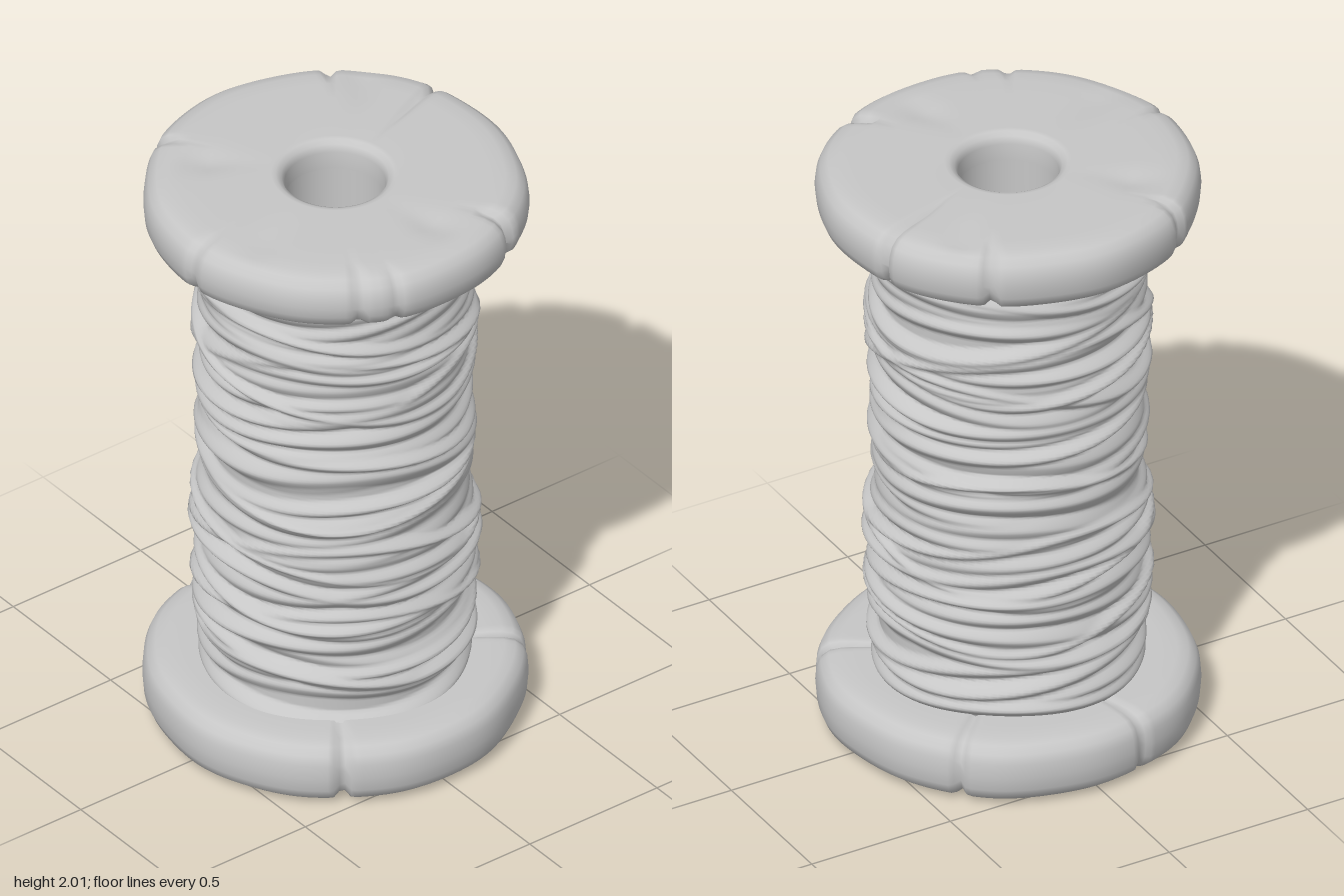
import * as THREE from 'three';
import { mergeVertices } from 'three/addons/utils/BufferGeometryUtils.js';

const wood = new THREE.MeshStandardMaterial({ color: 0xc6c6c6 });
wood.name = 'plain grey';

// Small seeded random generator
function seeded(seed) {
  let s = seed;
  return () => (s = (s * 16807) % 2147483647) / 2147483647;
}

// Shortest signed difference between two angles
const angleGap = (a, b) => Math.atan2(Math.sin(a - b), Math.cos(a - b));

// Lathe a profile, move each point by a rule (radius, y, angle) -> [radius, y], weld and smooth
function turned(name, points, segments, rule) {
  const lathe = new THREE.LatheGeometry(points.map(([r, y]) => new THREE.Vector2(r, y)), segments);
  lathe.deleteAttribute('uv');
  lathe.deleteAttribute('normal');
  const geometry = mergeVertices(lathe, 1e-5);
  const p = geometry.attributes.position;
  for (let i = 0; i < p.count; i++) {
    const angle = Math.atan2(p.getX(i), p.getZ(i));
    const [r, y] = rule(Math.hypot(p.getX(i), p.getZ(i)), p.getY(i), angle);
    p.setXYZ(i, r * Math.sin(angle), y, r * Math.cos(angle));
  }
  geometry.computeVertexNormals();
  const mesh = new THREE.Mesh(geometry, wood);
  mesh.name = name;
  return mesh;
}

// Rounded disc with a hole; cracks are [angle, depth, innermost radius, width]
function flange(name, low, high, cracks, dents, tilt) {
  const mid = (low + high) / 2;
  const profile = [
    [0.158, mid], [0.158, low + 0.03], [0.165, low + 0.01], [0.185, low], [0.2, low],
    [0.3, low], [0.4, low], [0.48, low], [0.53, low + 0.002], [0.565, low + 0.01],
    [0.59, low + 0.03], [0.602, low + 0.06], [0.606, mid], [0.602, high - 0.06],
    [0.59, high - 0.03], [0.565, high - 0.01], [0.53, high - 0.002], [0.48, high],
    [0.4, high], [0.3, high], [0.2, high], [0.185, high - 0.002], [0.168, high - 0.012],
    [0.158, high - 0.035], [0.158, mid],
  ];
  return turned(name, profile, 200, (r, y, a) => {
    // uneven worn rim
    let radius = r > 0.45 ? r * (0.995 + 0.005 * Math.sin(5 * a + low) + 0.003 * Math.sin(11 * a)) : r;
    const side = Math.sign(y - mid);
    let sink = 0;
    // radial splits in the rim
    for (const [angle, depth, inner, width] of cracks) {
      const g = Math.exp(-((angleGap(a, angle) / width) ** 2));
      if (r > 0.5) radius -= depth * g;
      if (r > inner) sink += 0.6 * depth * g;
    }
    // shallow dents in the top face
    const x = r * Math.sin(a), z = r * Math.cos(a);
    if (side > 0) {
      for (const [dx, dz, size, depth] of dents) {
        sink += depth * Math.exp(-((x - dx) ** 2 + (z - dz) ** 2) / (size * size));
      }
    }
    const lean = side > 0 ? tilt * (r * Math.sin(a) - 0.45) : 0;
    return [radius, y - side * sink + lean];
  });
}

// Wound thread: overlapping tilted ridges around a core
function thread() {
  const random = seeded(71);
  const wraps = [];
  // regular turns: [height, swing, phase, half width, rise]
  for (let y = 0.235; y < 1.82; y += 0.052) {
    wraps.push([
      y + (random() - 0.5) * 0.03, 0.012 + random() * 0.035, random() * Math.PI * 2,
      0.03 + random() * 0.02, 0.022 + random() * 0.03,
    ]);
  }
  // looser turns that cross the others
  wraps.push(
    [1.46, 0.1, 1.2, 0.035, 0.052], [1.43, 0.11, -1.5, 0.035, 0.05], [1.37, 0.08, 2.8, 0.035, 0.048],
    [1.58, 0.07, 0.2, 0.035, 0.044], [0.75, 0.09, 1.0, 0.032, 0.05], [0.78, 0.07, -1.3, 0.03, 0.048],
    [0.52, 0.07, 0.9, 0.03, 0.048], [1.0, 0.06, -2.2, 0.03, 0.048], [0.36, 0.05, -0.9, 0.03, 0.046],
  );
  const profile = [];
  for (let i = 0; i <= 230; i++) profile.push([0.405, 0.195 + (1.635 * i) / 230]);
  return turned('woundThread', profile, 110, (r, y, a) => {
    let rise = 0;
    for (const [height, swing, phase, half, top] of wraps) {
      const centre = height + swing * Math.cos(a - phase) + 0.008 * Math.sin(3 * a + phase * 5);
      const t = Math.abs(y - centre) / half;
      const strength = 0.78 + 0.22 * Math.sin(2 * a + phase * 3);
      if (t < 1) rise = Math.max(rise, top * strength * (1 - t ** 1.4));
    }
    return [r + rise + 0.004 * Math.sin(4 * a + 6 * y), y];
  });
}

export function createModel() {
  const group = new THREE.Group();
  group.name = 'threadSpool';

  group.add(flange('bottomFlange', 0, 0.213, [
    [0.96, 0.028, 0.45, 0.03], [-2.36, 0.022, 0.25, 0.025],
    [2.58, 0.02, 0.3, 0.025], [-1.31, 0.016, 0.35, 0.025],
  ], [], 0));

  group.add(flange('topFlange', 1.812, 2, [
    [-2.8, 0.025, 0.38, 0.025], [-2.19, 0.022, 0.5, 0.03], [2.09, 0.03, 0.5, 0.04],
    [1.05, 0.016, 0.53, 0.03], [-0.99, 0.02, 0.53, 0.03], [0.08, 0.014, 0.53, 0.03],
    [1.25, 0.012, 0.55, 0.03],
  ], [
    [-0.33, -0.36, 0.06, 0.012], [0.4, -0.08, 0.06, 0.014],
    [-0.29, 0.28, 0.06, 0.014], [0.17, 0.42, 0.06, 0.01],
  ], -0.012));

  // Wall of the bore between the flanges
  group.add(turned('boreWall', [[0.158, 1.91], [0.156, 1.4], [0.156, 0.6], [0.158, 0.1]], 48, (r, y) => [r, y]));

  group.add(thread());

  // Small splinter sticking into the bore
  const splinter = new THREE.Mesh(new THREE.ConeGeometry(0.035, 0.09, 5), wood);
  splinter.name = 'splinter';
  splinter.rotation.x = -Math.PI / 2;
  splinter.position.set(0.01, 0.25, 0.115);
  group.add(splinter);

  return group;
}
